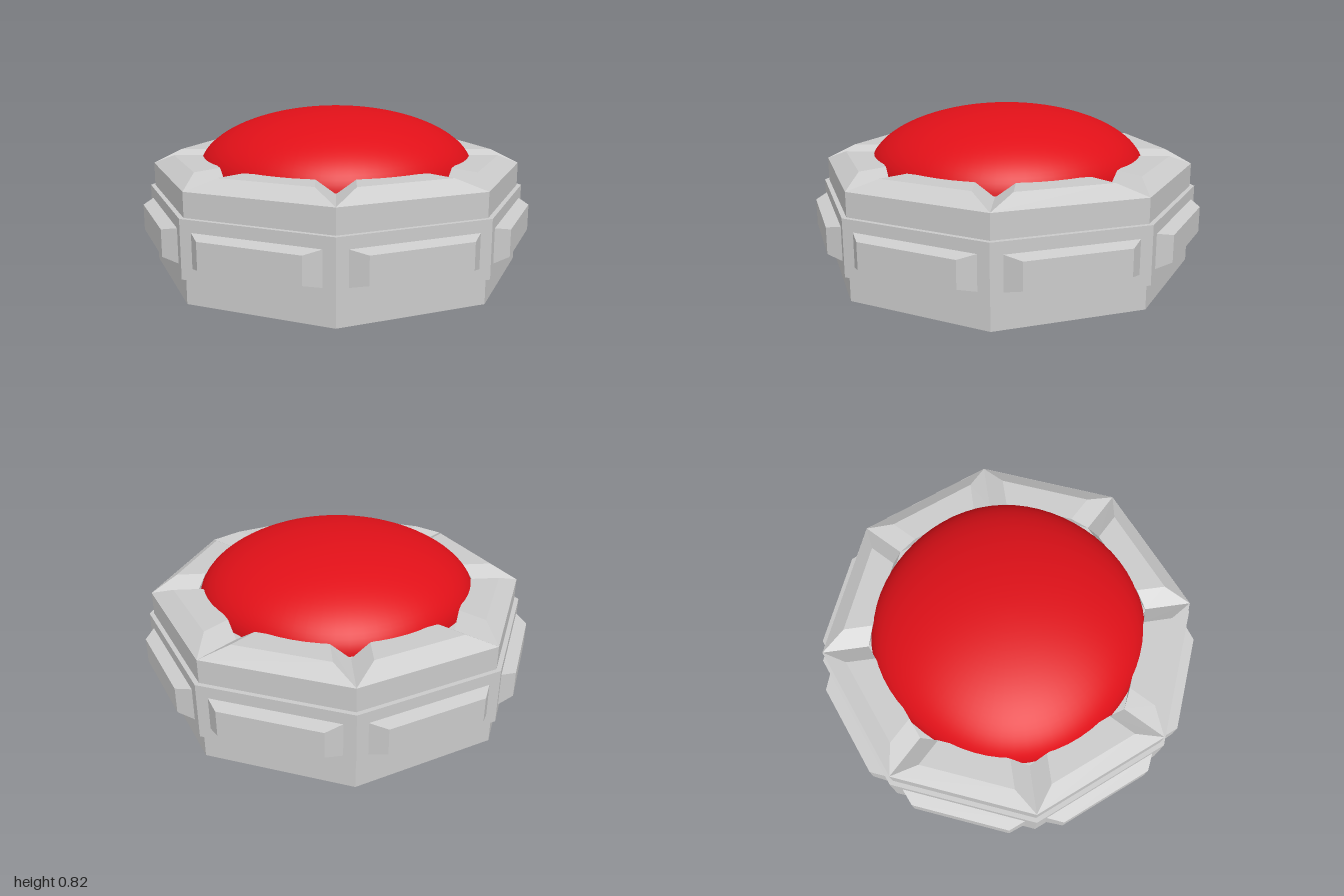
import * as THREE from 'three';
import { mergeVertices } from 'three/addons/utils/BufferGeometryUtils.js';

const SIDES = 8;
const STEP = (Math.PI * 2) / SIDES;

// Closed flat-faced block between two four-cornered loops,
// both counter-clockwise when looking at the top loop from outside.
function block(base, top) {
  const pos = [];
  const quad = (a, b, c, d) => pos.push(...a, ...b, ...c, ...a, ...c, ...d);
  quad(...top);
  quad(...[...base].reverse());
  for (let i = 0; i < 4; i++) {
    const j = (i + 1) % 4;
    quad(base[i], base[j], top[j], top[i]);
  }
  const geometry = new THREE.BufferGeometry();
  geometry.setAttribute('position', new THREE.Float32BufferAttribute(pos, 3));
  geometry.computeVertexNormals();
  return geometry;
}

// Upright rectangle facing +z
const upright = (half, y0, y1, z) => [[-half, y0, z], [half, y0, z], [half, y1, z], [-half, y1, z]];
// Level trapezoid, outer edge first
const level = (y, outerHalf, outerZ, innerHalf, innerZ) =>
  [[-outerHalf, y, outerZ], [outerHalf, y, outerZ], [innerHalf, y, innerZ], [-innerHalf, y, innerZ]];

export function createModel() {
  const model = new THREE.Group();
  const grey = new THREE.MeshStandardMaterial({ color: 0xcccccc, flatShading: true });
  const red = new THREE.MeshStandardMaterial({ color: 0xe01018 });

  const add = (name, geometry, material, parent = model) => {
    const mesh = new THREE.Mesh(geometry, material);
    mesh.name = name;
    parent.add(mesh);
    return mesh;
  };

  // Octagonal body and the wider band around it
  const prism = (radius, y0, y1) =>
    new THREE.CylinderGeometry(radius, radius, y1 - y0, SIDES).translate(0, (y0 + y1) / 2, 0);
  add('body', prism(0.966, 0, 0.53), grey);
  add('band', prism(0.99, 0.125, 0.41), grey);

  // Each side: a bevelled rim block on top and a raised panel on the band
  const rim = block(level(0.53, 0.37, 0.892, 0.278, 0.672), level(0.587, 0.239, 0.81, 0.181, 0.672));
  const panel = block(upright(0.322, 0.182, 0.352, 0.912), upright(0.254, 0.203, 0.335, 0.977));
  for (let i = 0; i < SIDES; i++) {
    const side = new THREE.Group();
    side.name = `side${i + 1}`;
    side.rotation.y = (i + 0.5) * STEP;
    add('rimBlock', rim, grey, side);
    add('sidePanel', panel, grey, side);
    model.add(side);
  }

  // Flattened push-button dome, very slightly squared in plan
  let dome = new THREE.SphereGeometry(1, 64, 24, 0, Math.PI * 2, 0, Math.PI / 2);
  const p = dome.attributes.position;
  for (let i = 0; i < p.count; i++) {
    const x = p.getX(i), y = p.getY(i), z = p.getZ(i);
    const r = 0.696 * (1 + 0.012 * (1 - Math.cos(4 * Math.atan2(z, x))) * (1 - y));
    p.setXYZ(i, x * r, 0.525 + y * 0.3, z * r);
  }
  dome.deleteAttribute('uv');
  dome.deleteAttribute('normal');
  dome = mergeVertices(dome);
  dome.computeVertexNormals();
  add('buttonDome', dome, red);

  return model;
}
